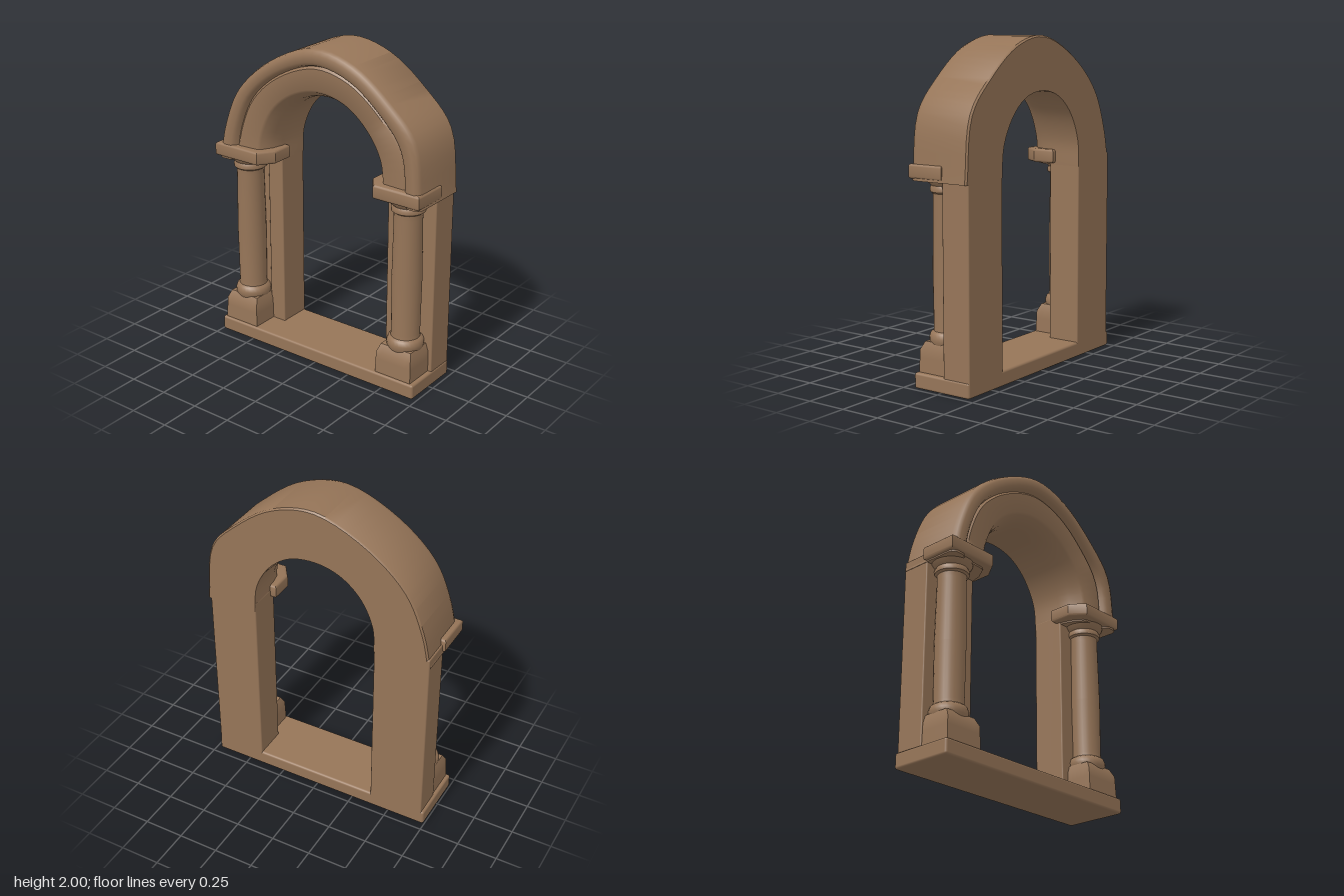
import * as THREE from 'three';
import { toCreasedNormals } from 'three/addons/utils/BufferGeometryUtils.js';
import { RoundedBoxGeometry } from 'three/addons/geometries/RoundedBoxGeometry.js';

const stone = new THREE.MeshStandardMaterial({ color: 0x967558 });
stone.name = 'brown stone';

function add(parent, name, geometry, x = 0, y = 0, z = 0) {
  const mesh = new THREE.Mesh(geometry, stone);
  mesh.name = name;
  mesh.position.set(x, y, z);
  parent.add(mesh);
  return mesh;
}

// Rounded block given by its limits on each axis
function block(parent, name, [x0, x1], [y0, y1], [z0, z1], r = 0.012) {
  const g = new RoundedBoxGeometry(x1 - x0, y1 - y0, z1 - z0, 2, r);
  return add(parent, name, g, (x0 + x1) / 2, (y0 + y1) / 2, (z0 + z1) / 2);
}

const curve = (pts) => new THREE.CatmullRomCurve3(pts.map(([x, y]) => new THREE.Vector3(x, y, 0)));

// Moulded section swept between an inner and an outer curve
function archGeometry() {
  const inner = curve([[-0.38, 1.2], [-0.37, 1.36], [-0.29, 1.53], [-0.16, 1.64], [0, 1.68],
    [0.17, 1.65], [0.3, 1.55], [0.39, 1.39], [0.41, 1.2]]);
  const outer = curve([[-0.73, 1.2], [-0.68, 1.42], [-0.57, 1.66], [-0.33, 1.87], [0, 2.0],
    [0.27, 1.945], [0.52, 1.77], [0.69, 1.58], [0.74, 1.2]]);
  // [fraction from inner to outer, z]
  const section = [[0, -0.205], [0, 0], [0.05, 0.07], [0.17, 0.14], [0.22, 0.152], [0.62, 0.16],
    [0.665, 0.148], [0.7, 0.175], [0.76, 0.19], [0.9, 0.192], [0.97, 0.18], [1, 0.155],
    [1, -0.195], [0.97, -0.205]];
  const steps = 40, n = section.length, pos = [], idx = [];
  for (let i = 0; i <= steps; i++) {
    const a = inner.getPoint(i / steps), b = outer.getPoint(i / steps);
    for (const [f, z] of section) pos.push(a.x + (b.x - a.x) * f, a.y + (b.y - a.y) * f, z);
  }
  for (let i = 0; i < steps; i++) {
    for (let j = 0; j < n; j++) {
      const k = (j + 1) % n, a = i * n + j, b = a + n, c = (i + 1) * n + k, d = i * n + k;
      idx.push(a, b, c, a, c, d);
    }
  }
  const last = steps * n;
  for (let j = 1; j < n - 1; j++) idx.push(0, j, j + 1, last, last + j + 1, last + j);
  const g = new THREE.BufferGeometry();
  g.setAttribute('position', new THREE.Float32BufferAttribute(pos, 3));
  g.setIndex(idx);
  return toCreasedNormals(g, 0.75);
}

// Base ring, slightly swelling shaft, neck ring and flared capital
function columnGeometry() {
  const profile = [[0.1, 0.25], [0.11, 0.275], [0.112, 0.3], [0.103, 0.325], [0.088, 0.335],
    [0.086, 0.36], [0.09, 0.7], [0.084, 1.09], [0.086, 1.125], [0.1, 1.135], [0.102, 1.155],
    [0.094, 1.17], [0.115, 1.19], [0.128, 1.225]].map(([r, y]) => new THREE.Vector2(r, y));
  return toCreasedNormals(new THREE.LatheGeometry(profile, 28), 0.8);
}

// Block narrowing through a sloped shoulder; its back stays flat
function plinthGeometry() {
  const w = 0.25, h = 0.19, d = 0.2;
  const g = new THREE.BoxGeometry(w, h, d, 6, 4, 6);
  const p = g.attributes.position;
  for (let i = 0; i < p.count; i++) {
    const t = p.getY(i) / h + 0.5;
    const s = 1 - 0.04 * t - (t > 0.9 ? 0.12 : 0);
    p.setX(i, p.getX(i) * s);
    p.setZ(i, (p.getZ(i) + d / 2) * s - d / 2);
  }
  return toCreasedNormals(g, 0.6);
}

// Capital slab with its inner front corner cut diagonally
function abacusGeometry(side, outerX, innerX) {
  const b = 0.015;
  const pts = [[outerX - b, -0.02], [outerX - b, 0.2 - b], [innerX + 0.075, 0.2 - b],
    [innerX + b, 0.1], [innerX + b, -0.02]];
  const shape = new THREE.Shape(pts.map(([x, z]) => new THREE.Vector2(side * x, -z)));
  const g = new THREE.ExtrudeGeometry(shape, {
    depth: 0.055, bevelEnabled: true, bevelSize: b, bevelThickness: b, bevelSegments: 3
  });
  g.rotateX(-Math.PI / 2);
  return toCreasedNormals(g, 0.6);
}

export function createModel() {
  const model = new THREE.Group();
  model.name = 'archway';

  block(model, 'sill', [-0.745, 0.725], [0, 0.093], [-0.205, 0.19], 0.014);
  add(model, 'arch', archGeometry());

  const sides = [
    { side: -1, name: 'right', outer: 0.727, inner: 0.38, column: 0.597, plinth: 0.597, slab: [0.745, 0.35] },
    { side: 1, name: 'left', outer: 0.72, inner: 0.405, column: 0.578, plinth: 0.573, slab: [0.742, 0.365] }
  ];
  for (const s of sides) {
    const support = new THREE.Group();
    support.name = s.name + 'Support';
    model.add(support);
    const span = (a, b) => [Math.min(s.side * a, s.side * b), Math.max(s.side * a, s.side * b)];
    block(support, 'pier', span(s.outer, s.inner), [0.07, 1.26], [-0.205, -0.02], 0.008);
    block(support, 'innerPilaster', span(s.inner + 0.11, s.inner), [0.07, 1.25], [-0.1, 0.005], 0.008);
    add(support, 'plinth', plinthGeometry(), s.side * s.plinth, 0.18, 0.075);
    add(support, 'column', columnGeometry(), s.side * s.column, 0, 0.05);
    add(support, 'abacus', abacusGeometry(s.side, ...s.slab), 0, 1.225, 0);
  }
  return model;
}
